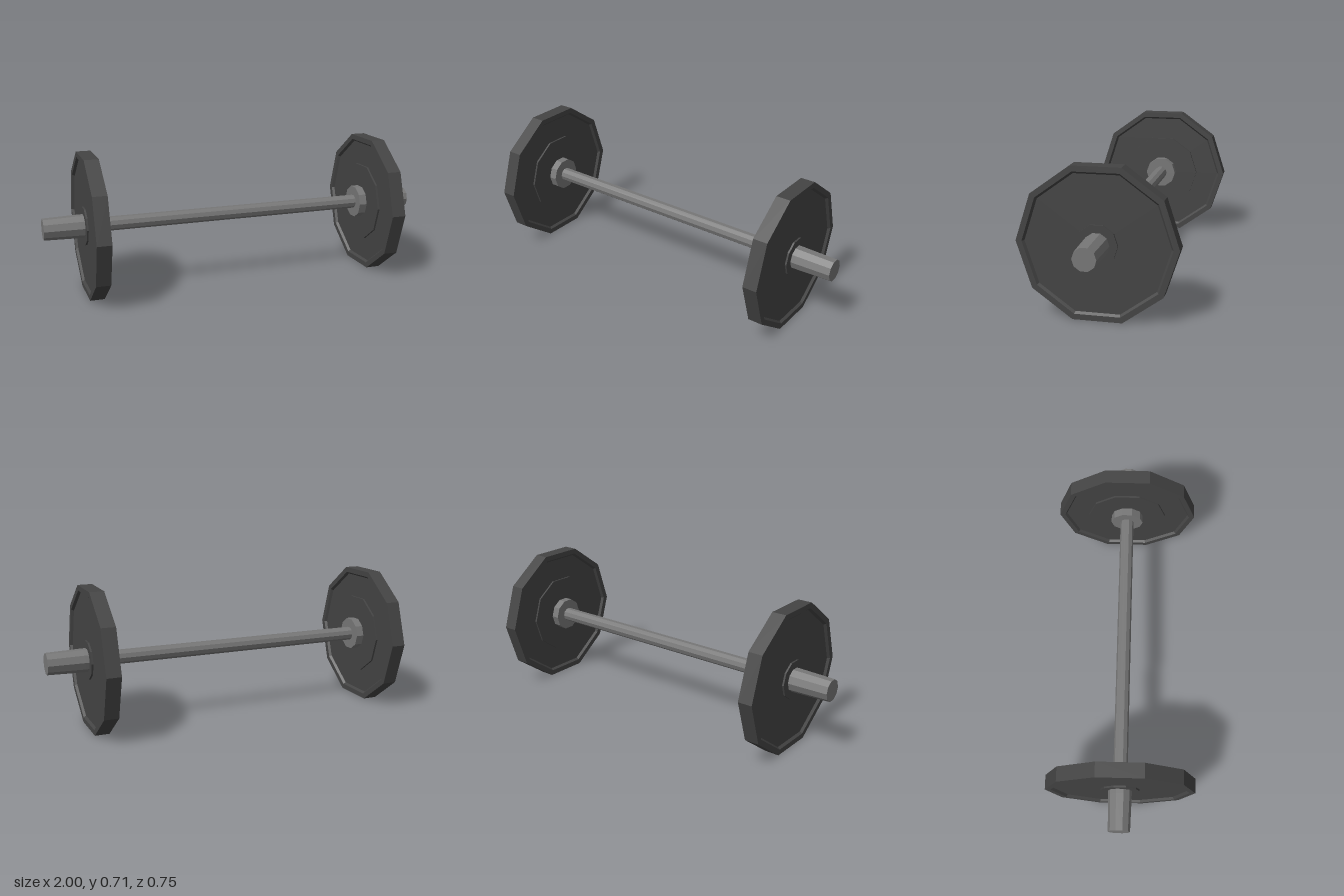
import * as THREE from 'three';

const SIDES = 10;
const AXIS_Y = 0.355;

const steel = new THREE.MeshStandardMaterial({ color: 0x777777, flatShading: true });
const iron = new THREE.MeshStandardMaterial({ color: 0x444444, flatShading: true });

// Turns a profile of [radius, x] pairs (x ascending on the outside) around the x axis.
function turned(name, profile, material) {
  const points = profile.map(([r, x]) => new THREE.Vector2(r, x));
  const geometry = new THREE.LatheGeometry(points, SIDES);
  geometry.rotateZ(-Math.PI / 2);
  const mesh = new THREE.Mesh(geometry, material);
  mesh.name = name;
  return mesh;
}

// One loaded end of the bar, built on the +x side.
function createEnd(name) {
  const end = new THREE.Group();
  end.name = name;

  // Plate: rim, shallow recess on both faces, raised hub
  end.add(turned('plate', [
    [0, 0.732], [0.21, 0.732], [0.21, 0.742], [0.335, 0.742],
    [0.345, 0.73], [0.373, 0.73], [0.373, 0.803], [0.345, 0.803],
    [0.335, 0.791], [0.097, 0.791], [0.097, 0.8], [0, 0.8],
  ], iron));

  // Stop collar on the inner side of the plate
  end.add(turned('collar', [
    [0, 0.69], [0.086, 0.69], [0.086, 0.731], [0, 0.731],
  ], steel));

  // Sleeve, slightly tapered towards its tip
  end.add(turned('sleeve', [
    [0, 0.725], [0.06, 0.725], [0.059, 0.82], [0.0545, 1], [0, 1],
  ], steel));
  return end;
}

export function createModel() {
  const barbell = new THREE.Group();
  barbell.name = 'barbell';

  // Grip bar
  barbell.add(turned('bar', [
    [0, -0.7], [0.036, -0.7], [0.036, 0.7], [0, 0.7],
  ], steel));

  // Matching ends
  const leftEnd = createEnd('leftEnd');
  const rightEnd = createEnd('rightEnd');
  rightEnd.rotation.y = Math.PI;
  barbell.add(leftEnd, rightEnd);

  barbell.position.y = AXIS_Y;
  const model = new THREE.Group();
  model.name = 'model';
  model.add(barbell);
  return model;
}
